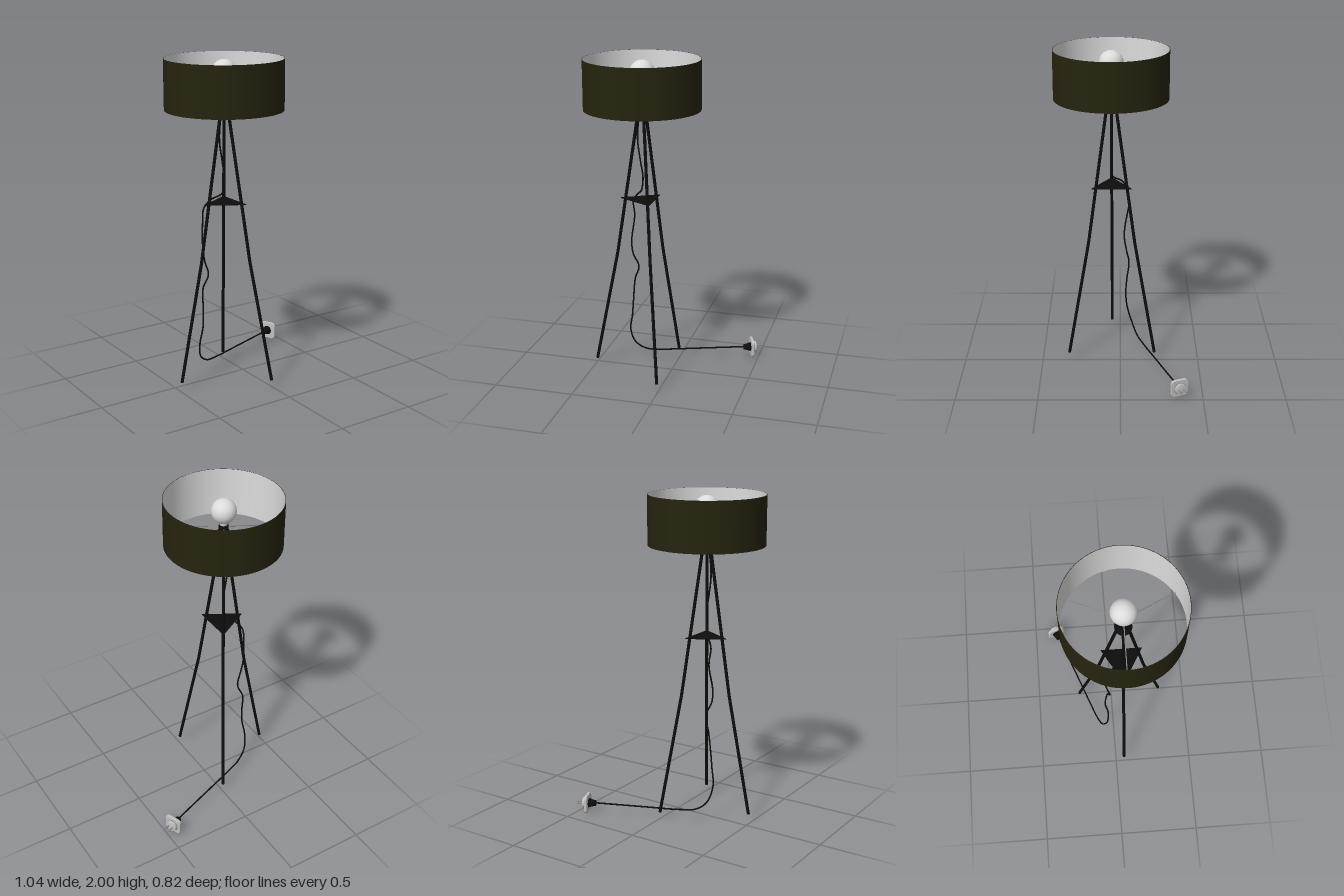
import * as THREE from 'three';

const mat = (name, color, side = THREE.FrontSide) => {
  const m = new THREE.MeshStandardMaterial({ color, side });
  m.name = name;
  return m;
};
const V = (x, y, z) => new THREE.Vector3(x, y, z);

export function createModel() {
  const black = mat('black', 0x0d0d0d);
  const olive = mat('olive fabric', 0x26230f, THREE.DoubleSide);
  const white = mat('white', 0xdcdcdc, THREE.DoubleSide);
  const metal = mat('grey metal', 0x8c8c8c);
  const plastic = mat('light grey plastic', 0xc0c0c0);

  const model = new THREE.Group();
  model.name = 'tripodLamp';
  const lamp = new THREE.Group();
  lamp.name = 'lamp';
  lamp.position.set(-0.167, 0, 0.055);
  model.add(lamp);

  const add = (parent, name, geo, material) => {
    const m = new THREE.Mesh(geo, material);
    m.name = name;
    parent.add(m);
    return m;
  };
  // round bar between two points
  const bar = (parent, name, a, b, r0, r1, material) => {
    const m = add(parent, name, new THREE.CylinderGeometry(r1, r0, a.distanceTo(b), 14), material);
    m.position.copy(a).add(b).multiplyScalar(0.5);
    m.quaternion.setFromUnitVectors(V(0, 1, 0), b.clone().sub(a).normalize());
    return m;
  };
  const lathe = (pts, n = 32) => new THREE.LatheGeometry(pts.map(p => new THREE.Vector2(...p)), n);

  // drum shade: fabric outside, white lining inside
  const shade = add(lamp, 'shade', new THREE.CylinderGeometry(0.352, 0.352, 0.3, 72, 1, true), olive);
  shade.position.y = 1.85;
  const lining = add(lamp, 'shadeLining', new THREE.CylinderGeometry(0.349, 0.349, 0.3, 72, 1, true), white);
  lining.position.y = 1.85;
  for (const y of [1.7, 2]) {
    const rim = add(lamp, 'shadeRim', new THREE.RingGeometry(0.349, 0.352, 72), olive);
    rim.rotation.x = -Math.PI / 2;
    rim.position.y = y;
  }

  // bulb, socket and hub
  add(lamp, 'bulb', new THREE.SphereGeometry(0.075, 36, 24), white).position.y = 1.918;
  add(lamp, 'bulbNeck', new THREE.CylinderGeometry(0.03, 0.022, 0.035, 24), white).position.y = 1.842;
  add(lamp, 'socket', lathe([[0, 1.68], [0.03, 1.68], [0.05, 1.695], [0.05, 1.71], [0.026, 1.712],
    [0.026, 1.74], [0.034, 1.742], [0.034, 1.79], [0.028, 1.795], [0.028, 1.83], [0, 1.83]]), black);

  // three bent legs, each with a shade spoke above
  for (let i = 0; i < 3; i++) {
    const a = Math.PI + i * Math.PI * 2 / 3;
    const at = (r, y) => V(Math.cos(a) * r, y, Math.sin(a) * r);
    bar(lamp, 'upperLeg', at(0.167, 0.79), at(0.024, 1.7), 0.0095, 0.0095, black);
    bar(lamp, 'lowerLeg', at(0.316, 0.052), at(0.167, 0.79), 0.0095, 0.0095, black);
    add(lamp, 'legJoint', new THREE.SphereGeometry(0.0095, 14, 10), black).position.copy(at(0.167, 0.79));
    bar(lamp, 'shadeSpoke', at(0.35, 1.715), at(0.02, 1.812), 0.003, 0.003, metal);
  }

  // triangular brace plate
  const tri = new THREE.Shape([0, 1, 2].map(i => {
    const a = Math.PI + i * Math.PI * 2 / 3;
    return new THREE.Vector2(Math.cos(a) * 0.143, Math.sin(a) * 0.143);
  }));
  const plate = add(lamp, 'bracePlate', new THREE.ExtrudeGeometry(tri, { depth: 0.005, bevelEnabled: false }), black);
  plate.rotation.x = -Math.PI / 2;
  plate.position.y = 1.139;

  // hanging cord running out along the floor
  const cord = new THREE.CatmullRomCurve3([
    [-0.17, 1.7, 0.05], [-0.19, 1.64, 0.05], [-0.2, 1.52, 0.052], [-0.185, 1.4, 0.055], [-0.167, 1.28, 0.055],
    [-0.178, 1.2, 0.05], [-0.225, 1.15, -0.01], [-0.257, 1.1, -0.035], [-0.256, 1, -0.055],
    [-0.27, 0.84, -0.032], [-0.26, 0.76, -0.025], [-0.227, 0.67, -0.04], [-0.257, 0.58, -0.056],
    [-0.265, 0.45, -0.042], [-0.272, 0.34, -0.036], [-0.288, 0.23, -0.048], [-0.265, 0.13, -0.08],
    [-0.2, 0.078, -0.11], [-0.1, 0.066, -0.148], [0.1, 0.063, -0.223], [0.41, 0.06, -0.34],
  ].map(p => V(...p)));
  add(model, 'cord', new THREE.TubeGeometry(cord, 260, 0.005, 8), black);

  // plug, built along its local x axis
  const plug = new THREE.Group();
  plug.name = 'plug';
  plug.position.set(0.4, 0.058, -0.337);
  plug.rotation.y = 0.38;
  model.add(plug);
  const alongX = (name, geo, material) => {
    add(plug, name, geo, material).rotation.z = -Math.PI / 2;
  };
  alongX('plugGrip', lathe([[0, 0], [0.018, 0], [0.02, 0.015], [0.026, 0.035], [0.031, 0.047], [0, 0.047]]), black);
  const s = new THREE.Shape();
  const c = 0.032, r = 0.02;
  [[c, c], [-c, c], [-c, -c], [c, -c]].forEach(([x, y], i) =>
    s.absarc(x, y, r, i * Math.PI / 2, (i + 1) * Math.PI / 2, false));
  const flange = add(plug, 'plugFlange', new THREE.ExtrudeGeometry(s,
    { depth: 0.01, bevelThickness: 0.004, bevelSize: 0.004, bevelSegments: 2, curveSegments: 8 }), plastic);
  flange.rotation.y = Math.PI / 2;
  flange.position.x = 0.049;
  alongX('plugFace', lathe([[0.036, 0.06], [0.036, 0.078], [0.033, 0.084], [0, 0.084]]), plastic);
  const seam = add(plug, 'plugFaceRing', new THREE.TorusGeometry(0.036, 0.003, 8, 36), metal);
  seam.rotation.y = Math.PI / 2;
  seam.position.x = 0.066;
  for (const z of [-0.016, 0.016])
    bar(plug, 'plugPin', V(0.08, 0, z), V(0.122, 0, z), 0.0045, 0.004, metal);

  return model;
}
